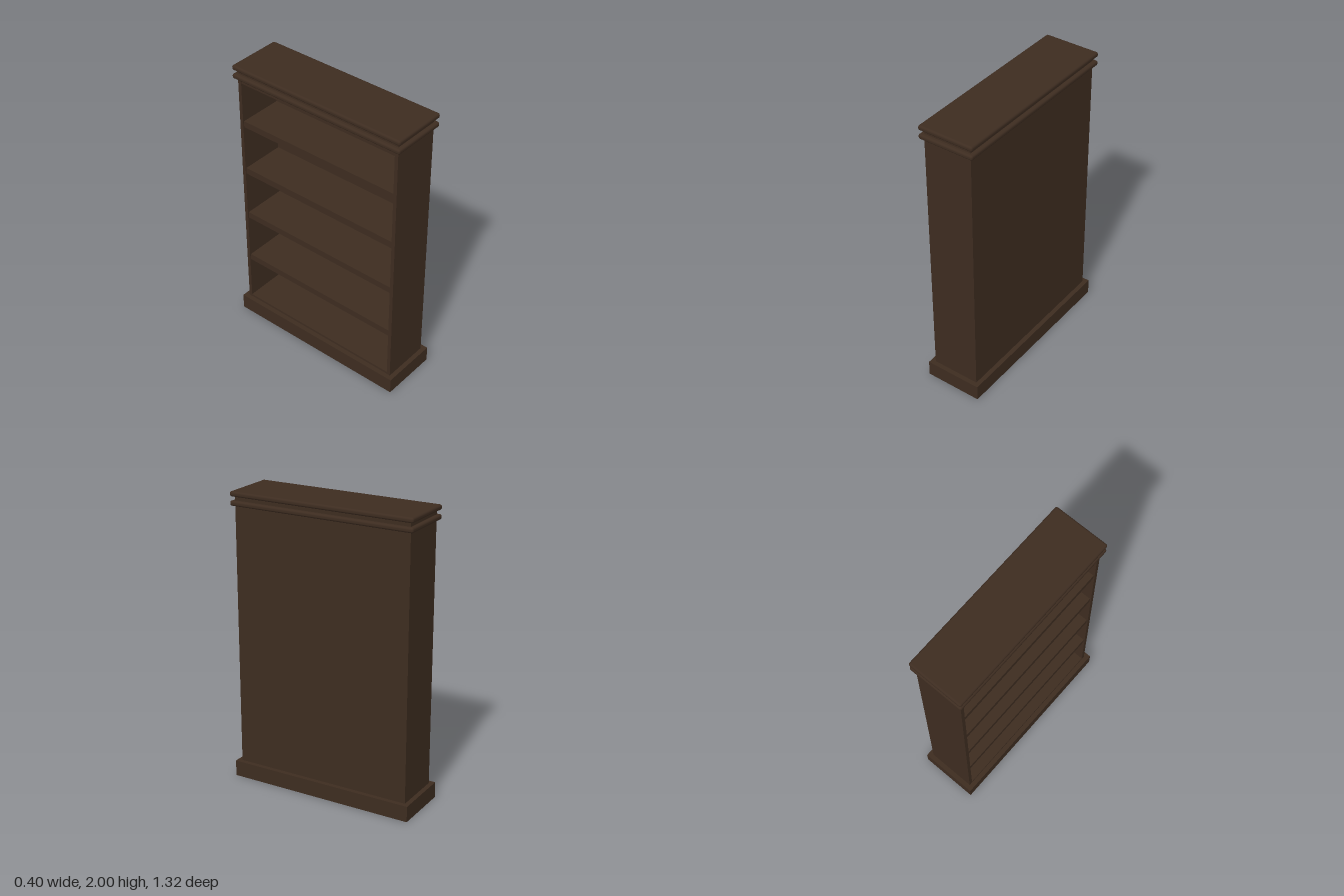
import * as THREE from 'three';
import { RoundedBoxGeometry } from 'three/addons/geometries/RoundedBoxGeometry.js';

const wood = new THREE.MeshStandardMaterial({ color: 0x3d2c20 });
wood.name = 'dark wood';

// Body half-width (x), half-length (z) and board thickness
const BX = 0.17, BZ = 0.63, T = 0.025;

export function createModel() {
  const model = new THREE.Group();
  model.name = 'bookcase';

  const add = (name, geometry, x, y, z) => {
    const mesh = new THREE.Mesh(geometry, wood);
    mesh.name = name;
    mesh.position.set(x, y, z);
    model.add(mesh);
  };
  // Board given by its extents
  const board = (name, x0, x1, y0, y1, z0, z1) =>
    add(name, new THREE.BoxGeometry(x1 - x0, y1 - y0, z1 - z0), (x0 + x1) / 2, (y0 + y1) / 2, (z0 + z1) / 2);
  // Rectangular frame lying flat, with a rectangular opening
  const frame = (name, hx, hz, ix, iz, y0, y1) => {
    const rect = (C, a, b) => new C([[-a, -b], [a, -b], [a, b], [-a, b]].map(p => new THREE.Vector2(...p)));
    const shape = rect(THREE.Shape, hx, hz);
    shape.holes.push(rect(THREE.Path, ix, iz));
    const g = new THREE.ExtrudeGeometry(shape, { depth: y1 - y0, bevelEnabled: false });
    g.rotateX(-Math.PI / 2);
    add(name, g, 0, y0, 0);
  };

  // Hollow plinth: thin skirt with a ledge on top
  frame('plinthSkirt', 0.202, 0.662, 0.19, 0.65, 0, 0.1);
  frame('plinthLedge', 0.202, 0.662, BX - T, BZ - T, 0.1, 0.11);

  // Carcass, open towards -x
  for (const s of [-1, 1]) {
    const inner = s * (BZ - T), outer = s * BZ;
    board('sidePanel', -BX, BX, 0.11, 1.91, Math.min(inner, outer), Math.max(inner, outer));
  }
  board('backPanel', BX - 0.02, BX, 0.11, 1.91, -BZ + T, BZ - T);
  board('floorBoard', -BX, BX - 0.02, 0.112, 0.128, -BZ + T, BZ - T);
  board('headerBoard', -BX + 0.005, BX - 0.02, 1.87, 1.91, -BZ + T, BZ - T);

  // Four evenly spaced shelves
  for (let i = 1; i <= 4; i++) {
    const top = 0.125 + i * 0.366;
    board('shelf', -BX + 0.008, BX - 0.02, top - 0.045, top, -BZ + T, BZ - T);
  }

  // Cornice: two rounded slabs with a neck between them
  add('lowerCornice', new RoundedBoxGeometry(0.394, 0.034, 1.312, 4, 0.014), 0, 1.922, 0);
  board('corniceNeck', -BX, BX, 1.93, 1.975, -BZ, BZ);
  add('upperCornice', new RoundedBoxGeometry(0.394, 0.034, 1.312, 4, 0.014), 0, 1.983, 0);

  return model;
}
